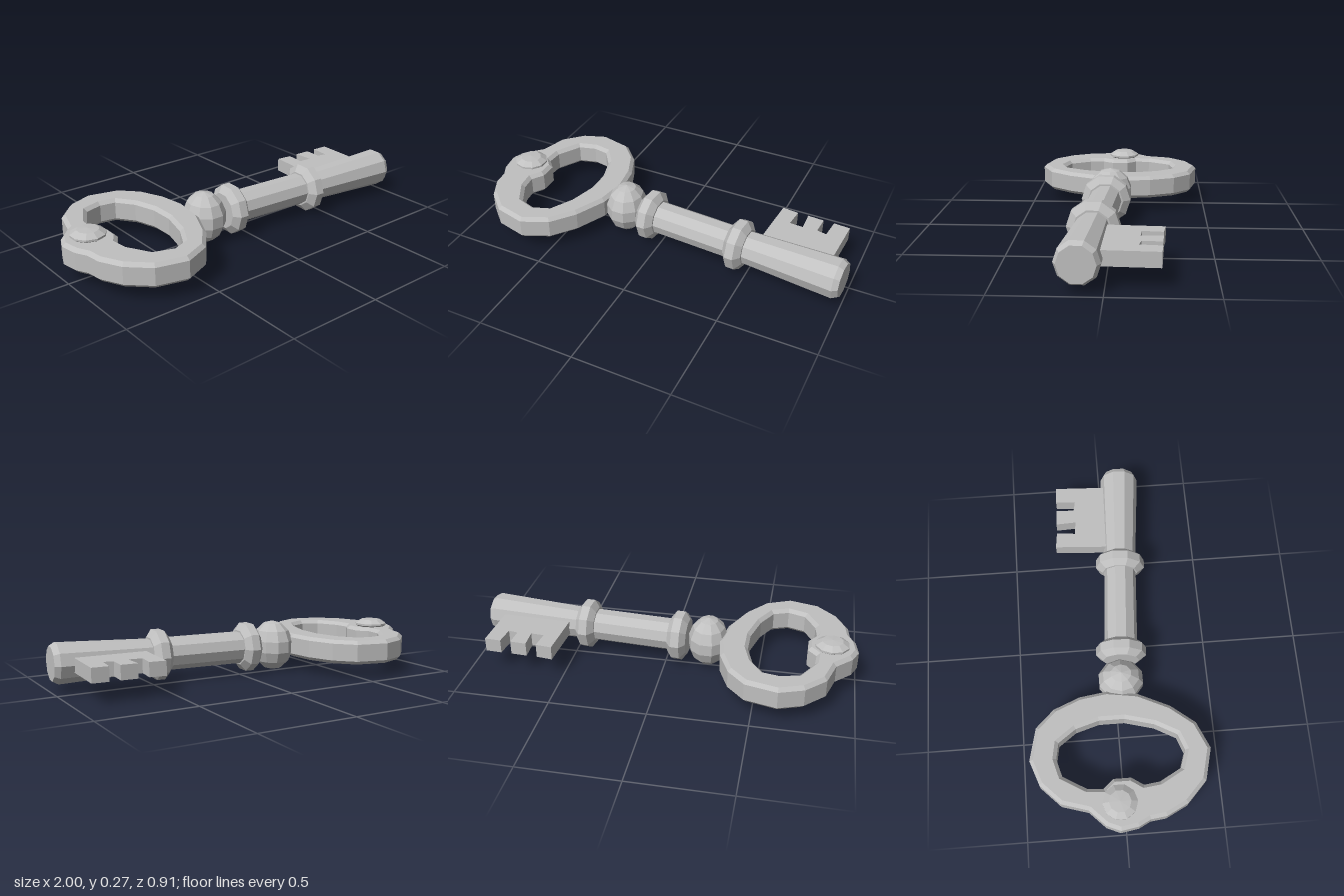
import * as THREE from 'three';

const MID = 0.138; // height of the key's centre line
const metal = new THREE.MeshStandardMaterial({ color: 0xc0c0c0, flatShading: true });
metal.name = 'grey metal';

const vectors = (list) => list.map(([x, y]) => new THREE.Vector2(x, y));

export function createModel() {
  const key = new THREE.Group();
  key.name = 'key';

  function add(name, geometry, parent = key) {
    const mesh = new THREE.Mesh(geometry, metal);
    mesh.name = name;
    parent.add(mesh);
    return mesh;
  }

  // Flat plate from an outline given in x and z, between two heights
  function plate(outline, hole, bottom, top, bevel) {
    const shape = new THREE.Shape(vectors(outline));
    if (hole) shape.holes.push(new THREE.Path(vectors(hole)));
    const geometry = new THREE.ExtrudeGeometry(shape, {
      depth: top - bottom - 2 * bevel,
      bevelEnabled: bevel > 0,
      bevelThickness: bevel, bevelSize: bevel, bevelOffset: -bevel, bevelSegments: 1,
    });
    geometry.rotateX(Math.PI / 2);
    geometry.translate(0, top - bevel, 0);
    return geometry;
  }

  // Bow: uneven oval ring with a lobe that carries the rivet
  const outer = [
    [-0.625, -0.46], [-0.46, -0.42], [-0.37, -0.325], [-0.315, -0.19], [-0.295, -0.05],
    [-0.32, 0.11], [-0.395, 0.27], [-0.49, 0.39], [-0.625, 0.45], [-0.785, 0.41],
    [-0.89, 0.31], [-0.945, 0.2], [-0.955, 0.12], [-0.985, 0.06], [-1, -0.03],
    [-0.97, -0.1], [-0.89, -0.18], [-0.85, -0.315], [-0.75, -0.415],
  ];
  const inner = [
    [-0.625, -0.325], [-0.545, -0.31], [-0.48, -0.22], [-0.445, -0.1], [-0.445, 0.03],
    [-0.485, 0.18], [-0.545, 0.29], [-0.625, 0.32], [-0.715, 0.29], [-0.775, 0.18],
    [-0.785, 0.1], [-0.745, 0.04], [-0.745, -0.05], [-0.79, -0.1], [-0.785, -0.18],
    [-0.715, -0.3],
  ];
  add('bow', plate(outer, inner, 0.075, 0.2, 0.018));

  // Rivet on the bow
  const rivet = new THREE.LatheGeometry(vectors([
    [0.07, 0], [0.088, 0.012], [0.088, 0.022], [0.055, 0.042], [0, 0.046],
  ]), 10);
  add('rivet', rivet).position.set(-0.865, 0.195, -0.025);

  // Ball between bow and shaft
  const ball = add('ball', new THREE.SphereGeometry(1, 10, 7));
  ball.scale.set(0.108, 0.135, 0.122);
  ball.position.set(-0.225, 0.135, 0.03);

  // Shaft parts turned around a slightly skewed axis
  const shaft = new THREE.Group();
  shaft.name = 'shaft';
  shaft.position.set(0, MID, 0.049);
  shaft.rotation.y = -0.066;
  key.add(shaft);
  function turned(name, profile) {
    const geometry = new THREE.LatheGeometry(vectors(profile.map(([u, r]) => [r, u])), 10);
    geometry.rotateZ(-Math.PI / 2);
    return add(name, geometry, shaft);
  }
  turned('upperShaft', [[-0.04, 0.086], [0.41, 0.086]]);
  turned('lowerShaft', [[0.46, 0.085], [0.965, 0.104], [0.993, 0.088], [0.993, 0]]);
  [-0.067, 0.44].forEach((u) => turned('collar', [
    [u - 0.05, 0], [u - 0.05, 0.095], [u - 0.022, 0.132],
    [u + 0.022, 0.132], [u + 0.05, 0.095], [u + 0.05, 0],
  ]));

  // Toothed bit
  add('bit', plate([
    [0.55, -0.265], [0.635, -0.255], [0.625, -0.155], [0.695, -0.15], [0.69, -0.255],
    [0.775, -0.25], [0.77, -0.155], [0.82, -0.145], [0.83, -0.25], [0.915, -0.245],
    [0.9, 0.08], [0.53, 0.06],
  ], null, 0.102, 0.175, 0));

  return key;
}
